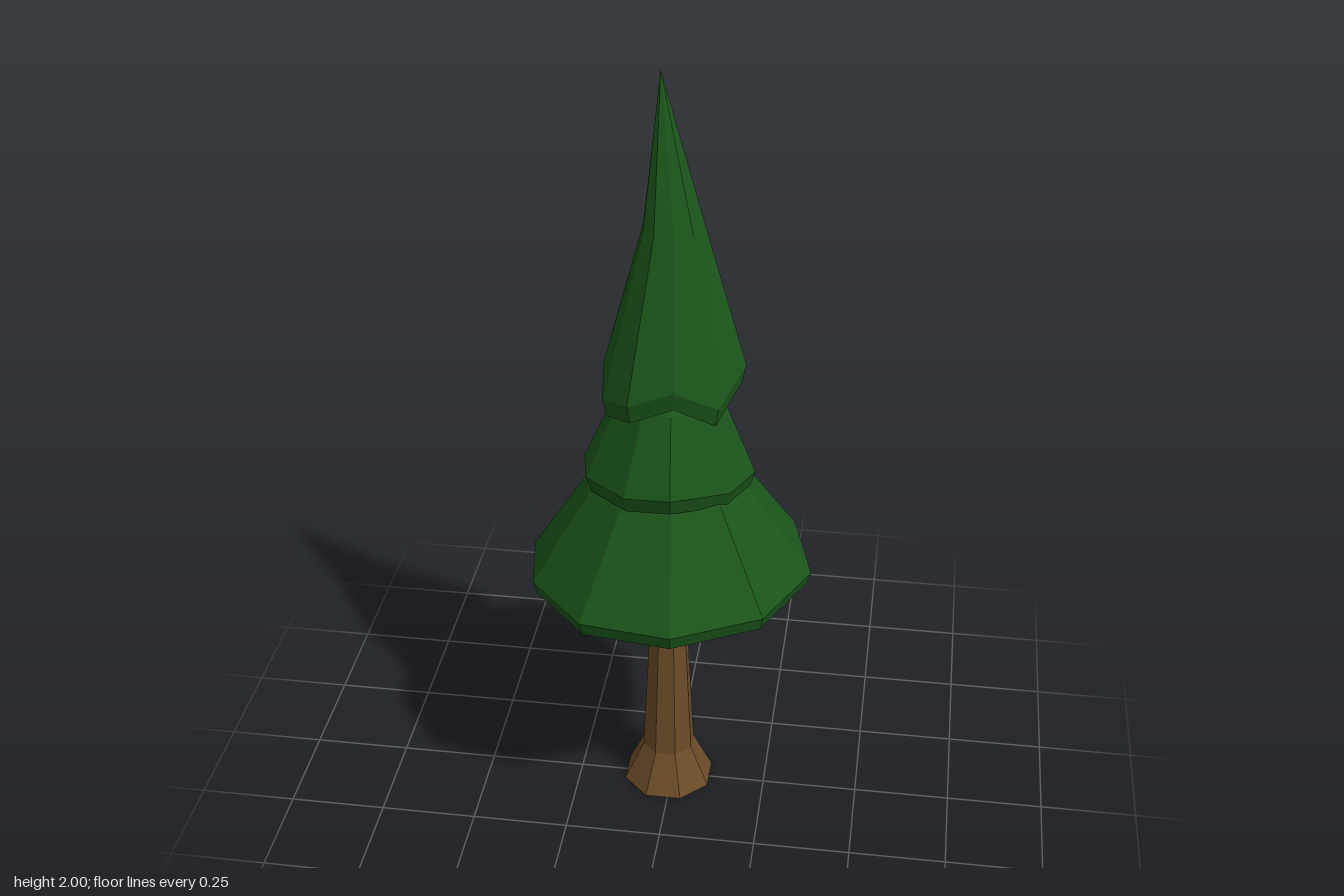
import * as THREE from 'three';

const foliage = new THREE.MeshStandardMaterial({ color: 0x1a551a, flatShading: true });
const bark = new THREE.MeshStandardMaterial({ color: 0x6b4c28, flatShading: true });

// Skin a stack of equal-sized rings (bottom to top), closed at both ends by fans
function loft(rings, bottom, top, material, name) {
  const n = rings[0].length, pos = [];
  const tri = (...pts) => pts.forEach(p => pos.push(...p));
  for (let i = 0; i < n; i++) {
    const j = (i + 1) % n;
    tri(bottom, rings[0][i], rings[0][j]);
    for (let r = 0; r < rings.length - 1; r++) {
      const a = rings[r], b = rings[r + 1];
      tri(a[i], b[i], a[j]);
      tri(a[j], b[i], b[j]);
    }
    const last = rings[rings.length - 1];
    tri(last[i], top, last[j]);
  }
  const geo = new THREE.BufferGeometry();
  geo.setAttribute('position', new THREE.Float32BufferAttribute(pos, 3));
  geo.computeVertexNormals();
  const mesh = new THREE.Mesh(geo, material);
  mesh.name = name;
  return mesh;
}

// One skirt of branches: rim corners are [x, z, y of the lower lip]
function tier({ name, rim, lip, inset, under, levels, centre, apex }) {
  const [cx, cz] = centre;
  const scaled = (s, y) => rim.map(([x, z, low]) => [cx + (x - cx) * s, y(low), cz + (z - cz) * s]);
  const rings = [
    scaled(inset, low => low),
    scaled(1, low => low + lip),
    ...levels.map(([s, y]) => scaled(s, () => y)),
  ];
  return loft(rings, [cx, under, cz], apex, foliage, name);
}

export function createModel() {
  const tree = new THREE.Group();
  tree.name = 'pineTree';

  // Trunk with a flared foot
  const trunkRing = ([y, r, cx, cz]) => Array.from({ length: 8 }, (_, i) => {
    const a = (i + 0.5) * Math.PI / 4;
    return [cx + r * Math.cos(a), y, cz + r * Math.sin(a)];
  });
  const trunkRings = [
    [0, 0.122, -0.012, -0.01],
    [0.11, 0.07, -0.012, -0.01],
    [0.72, 0.039, -0.012, -0.01],
  ].map(trunkRing);
  tree.add(loft(trunkRings, [-0.012, 0, -0.01], [-0.012, 0.72, -0.01], bark, 'trunk'));

  // Wide bottom skirt, tilted up towards +x
  const wide = [
    [-0.02, -0.38], [0.16, -0.28], [0.3, -0.145], [0.36, 0.085], [0.26, 0.285],
    [0.045, 0.375], [-0.185, 0.32], [-0.335, 0.145], [-0.365, -0.035], [-0.23, -0.235],
  ].map(([x, z]) => [x, z, 0.697 + 0.08 * x]);
  tree.add(tier({
    name: 'lowerBranches', rim: wide, lip: 0.037, inset: 0.97, under: 0.70,
    levels: [[0.53, 0.98]], centre: [0, 0], apex: [0, 1.1, 0],
  }));

  // Middle skirt
  const middle = [
    [-0.03, -0.225, 0.97], [0.09, -0.175, 0.965], [0.155, -0.1, 0.965], [0.21, 0.035, 0.972],
    [0.16, 0.14, 0.97], [0.025, 0.227, 0.988], [-0.09, 0.207, 0.975], [-0.2, 0.1, 0.96],
    [-0.22, 0.01, 0.967], [-0.15, -0.14, 0.96],
  ];
  tree.add(tier({
    name: 'middleBranches', rim: middle, lip: 0.043, inset: 0.94, under: 0.99,
    levels: [[0.6, 1.21]], centre: [0, 0], apex: [0, 1.32, 0],
  }));

  // Tall crown with a ragged hem and an off-centre tip
  const crown = [
    [-0.04, -0.21, 1.2], [0.135, -0.15, 1.19], [0.178, -0.01, 1.235], [0.125, 0.11, 1.175],
    [0.025, 0.163, 1.24], [-0.085, 0.17, 1.2], [-0.155, 0.105, 1.18], [-0.17, -0.01, 1.22],
    [-0.14, -0.14, 1.185],
  ];
  tree.add(tier({
    name: 'crown', rim: crown, lip: 0.05, inset: 0.94, under: 1.23,
    levels: [[0.42, 1.64]], centre: [0, -0.025], apex: [-0.035, 2, -0.055],
  }));

  return tree;
}
